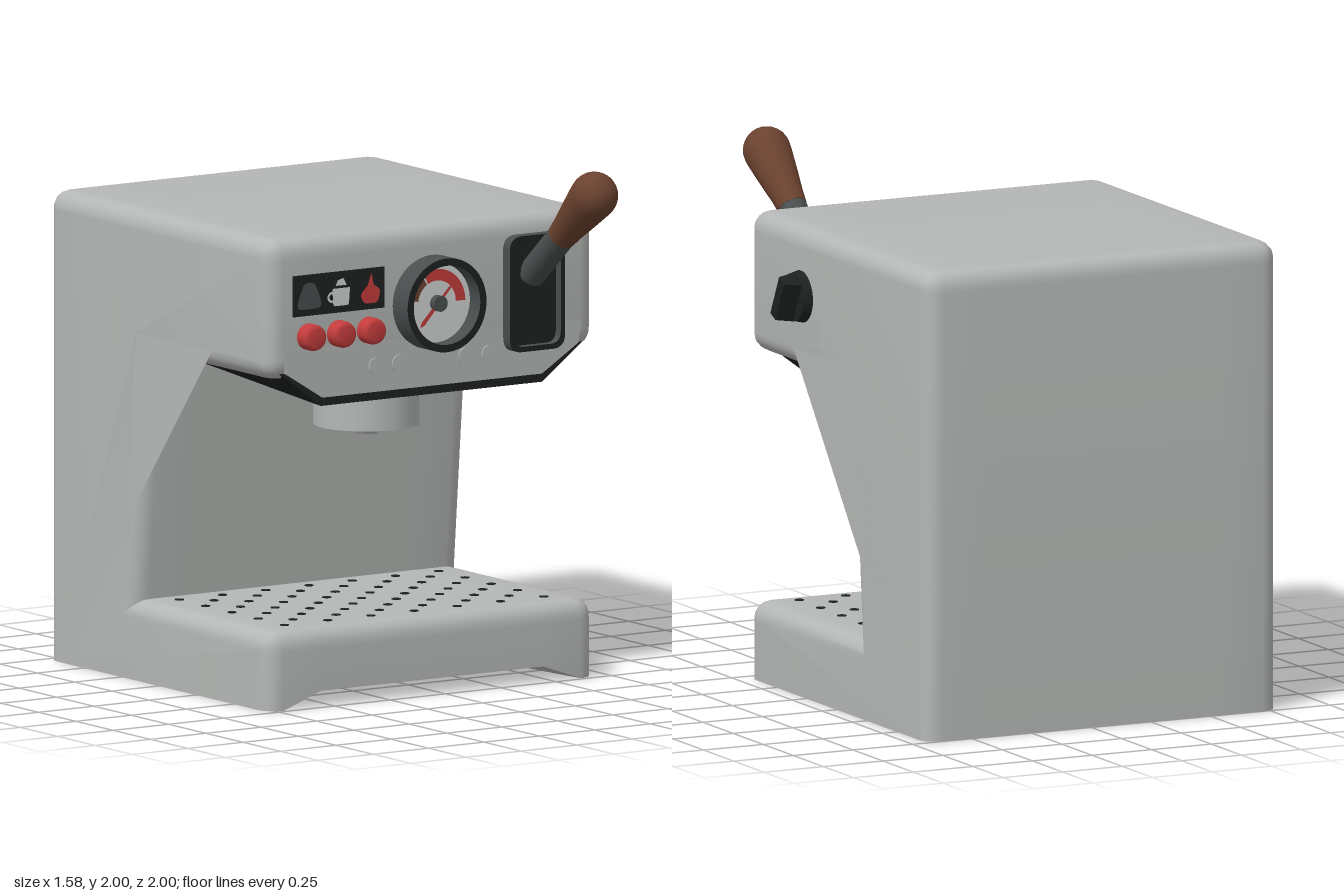
import * as THREE from 'three';
import { toCreasedNormals } from 'three/addons/utils/BufferGeometryUtils.js';

const mat = (name, color) => new THREE.MeshStandardMaterial({ name, color });

export function createModel() {
  const root = new THREE.Group();
  root.name = 'espressoMachine';
  const steel = mat('brushedSteel', 0xb4b7b5), pale = mat('paleGrey', 0xd0d3d1);
  const dark = mat('darkGrey', 0x4a4e4e), black = mat('black', 0x1e2121);
  const red = mat('red', 0xc43c3c), wood = mat('brownWood', 0x6b422f);
  const FRONT = 0.485, CX = -0.05;

  const add = (name, geo, material, x = 0, y = 0, z = 0, parent = root) => {
    const m = new THREE.Mesh(geo, material);
    m.name = name;
    m.position.set(x, y, z);
    parent.add(m);
    return m;
  };
  // Polygon whose points may carry a corner radius: [x, y, r]
  const polygon = (pts, Kind = THREE.Shape) => {
    const s = new Kind();
    pts.forEach(([x, y, r = 0], i) => {
      const toward = (q) => {
        const d = Math.hypot(q[0] - x, q[1] - y);
        return [x + (q[0] - x) * r / d, y + (q[1] - y) * r / d];
      };
      const a = toward(pts[(i + pts.length - 1) % pts.length]);
      const b = toward(pts[(i + 1) % pts.length]);
      if (i) s.lineTo(...a); else s.moveTo(...a);
      if (r) s.quadraticCurveTo(x, y, ...b);
    });
    s.closePath();
    return s;
  };
  const roundRect = (w, h, r, Kind) => polygon(
    [[-w / 2, -h / 2, r], [w / 2, -h / 2, r], [w / 2, h / 2, r], [-w / 2, h / 2, r]], Kind);
  const extrude = (shape, depth) => new THREE.ExtrudeGeometry(shape, { depth, bevelEnabled: false, curveSegments: 8 });
  const disc = (r, depth) => new THREE.CylinderGeometry(r, r, depth, 32).rotateX(Math.PI / 2);

  // C-shaped housing: side profile swept across the width with rounded edges
  const R = 0.08;
  const profile = polygon([[-1, -0.07], [FRONT, -0.07], [FRONT, 0.3, R], [-0.42, 0.3], [-0.335, 1.25],
    [FRONT, 1.25, R], [FRONT, 1.785, R], [-1, 1.785, R]].map(([z, y, r]) => [-z, y, r]));
  const body = new THREE.ExtrudeGeometry(profile, {
    depth: 1.34, steps: 8, curveSegments: 6,
    bevelSize: 0.07, bevelThickness: 0.07, bevelOffset: -0.07, bevelSegments: 5,
  });
  body.rotateY(Math.PI / 2).translate(-0.72, 0, 0);
  // Flatten the underside and raise its middle towards the front
  const bp = body.attributes.position;
  for (let i = 0; i < bp.count; i++) {
    if (bp.getY(i) >= 0) continue;
    const middle = bp.getX(i) > -0.56 && bp.getX(i) < 0.46;
    bp.setY(i, middle ? 0.06 * (bp.getZ(i) + 1) / 1.485 : 0);
  }
  add('housing', toCreasedNormals(body, 0.5), steel);

  // Black hood under the head, rising towards the column
  const hood = extrude(polygon([[-0.73, 1.275], [-0.55, 1.14], [0.45, 1.14], [0.63, 1.275]]), 0.84);
  hood.translate(0, 0, -0.36);
  const hp = hood.attributes.position;
  for (let i = 0; i < hp.count; i++) {
    if (hp.getY(i) < 1.2) hp.setY(i, hp.getY(i) + 0.06 * (0.48 - hp.getZ(i)) / 0.84);
  }
  hood.computeVertexNormals();
  add('hood', hood, black);
  add('frontApron', extrude(polygon([[-0.72, 1.36], [-0.71, 1.275], [-0.545, 1.172], [0.445, 1.172],
    [0.61, 1.275], [0.62, 1.36]]), 0.009), steel, 0, 0, FRONT - 0.008);

  // Brew head and nozzle
  add('brewHead', new THREE.CylinderGeometry(0.2, 0.2, 0.24, 40), steel, CX, 1.09, 0.043);
  add('nozzle', new THREE.CylinderGeometry(0.07, 0.045, 0.037, 24), steel, CX, 0.953, 0.043);

  // Staggered drain holes in the tray
  const tray = new THREE.Group();
  tray.name = 'trayHoles';
  root.add(tray);
  const hole = new THREE.CylinderGeometry(0.018, 0.018, 0.004, 10);
  for (let row = 0; row < 9; row++) {
    const n = row % 2 ? 6 : 7;
    for (let c = 0; c < n; c++) {
      add('trayHole', hole, black, CX + (c - (n - 1) / 2) * 0.195, 0.301, -0.34 + row * 0.088, tray);
    }
  }

  // Icon panel with three symbols
  add('iconPanel', new THREE.BoxGeometry(0.41, 0.155, 0.008), black, -0.475, 1.567, FRONT + 0.004);
  const zi = FRONT + 0.0095;
  const icon = (name, pts, material, x, y) => add(name, new THREE.ShapeGeometry(polygon(pts)), material, x, y, zi);
  icon('dropIcon', [[-0.06, -0.045, 0.03], [0.06, -0.045, 0.03], [0.045, 0.005, 0.02], [0.022, 0.055, 0.02],
    [-0.022, 0.055, 0.02], [-0.045, 0.005, 0.02]], dark, -0.61, 1.56);
  icon('cupIcon', [[-0.03, -0.045, 0.01], [0.04, -0.045, 0.01], [0.045, 0.022], [-0.035, 0.022]], pale, -0.472, 1.56);
  icon('steamIcon', [[-0.02, 0.032], [0.03, 0.032], [0.015, 0.06], [-0.01, 0.052]], pale, -0.472, 1.56);
  add('cupHandleIcon', new THREE.RingGeometry(0.012, 0.021, 16), pale, -0.508, 1.55, zi);
  icon('flameIcon', [[-0.03, -0.05, 0.02], [0.035, -0.05, 0.02], [0.045, 0.0, 0.01], [0.015, 0.02],
    [0.005, 0.065], [-0.012, 0.02], [-0.045, -0.015, 0.01]], red, -0.335, 1.562);

  // Round push buttons
  const button = new THREE.LatheGeometry([[0.05, 0], [0.05, 0.04], [0.046, 0.053], [0.035, 0.06], [0, 0.061]]
    .map(([r, h]) => new THREE.Vector2(r, h)), 28).rotateX(Math.PI / 2);
  for (const x of [-0.61, -0.475, -0.34]) add('button', button, red, x, 1.41, FRONT);

  // Small indicator caps
  for (const x of [-0.305, -0.2, 0.1, 0.205]) add('indicator', disc(0.033, 0.012), steel, x, 1.27, FRONT);

  // Pressure gauge
  const gauge = new THREE.Group();
  gauge.name = 'gauge';
  gauge.position.set(CX, 1.49, FRONT);
  root.add(gauge);
  const ring = new THREE.Shape().absarc(0, 0, 0.178, 0, Math.PI * 2);
  ring.holes.push(new THREE.Path().absarc(0, 0, 0.15, 0, Math.PI * 2, true));
  add('gaugeRing', toCreasedNormals(new THREE.ExtrudeGeometry(ring, { depth: 0.1, bevelEnabled: false, curveSegments: 32 }), 0.5),
    [black, dark], 0, 0, 0, gauge);
  add('gaugeFace', disc(0.152, 0.03), pale, 0, 0, 0.015, gauge);
  const arc = (name, from, to, material) => add(name,
    new THREE.RingGeometry(0.085, 0.128, 24, 1, from * Math.PI / 180, (to - from) * Math.PI / 180),
    material, 0, 0, 0.032, gauge);
  arc('gaugeRedArc', 0, 118, red);
  arc('gaugeBrownArc', 122, 172, wood);
  add('needle', new THREE.ShapeGeometry(polygon([[-0.12, 0], [-0.1, -0.009], [0.08, -0.005], [0.08, 0.005], [-0.1, 0.009]])),
    red, 0, 0, 0.042, gauge).rotation.z = Math.PI * 0.26;
  add('needleHub', disc(0.03, 0.03), dark, 0, 0, 0.045, gauge);

  // Lever plate: frame with recessed floor
  const LX = 0.395;
  const frame = roundRect(0.25, 0.44, 0.055);
  frame.holes.push(roundRect(0.21, 0.4, 0.045, THREE.Path));
  add('leverFrame', toCreasedNormals(extrude(frame, 0.045), 0.5), [black, dark], LX, 1.49, FRONT);
  add('leverFloor', extrude(roundRect(0.22, 0.41, 0.045), 0.012), black, LX, 1.49, FRONT);

  // Lever: steel shaft and wooden grip along a slanted axis
  const lever = new THREE.Group();
  lever.name = 'lever';
  lever.position.set(LX, 1.555, 0.49);
  lever.quaternion.setFromUnitVectors(new THREE.Vector3(0, 1, 0), new THREE.Vector3(0, 0.355, 0.42).normalize());
  root.add(lever);
  add('leverShaft', new THREE.CylinderGeometry(0.054, 0.054, 0.28, 24), dark, 0, 0.14, 0, lever);
  const grip = [[0, 0.27], [0.056, 0.27], [0.062, 0.33], [0.075, 0.42], [0.088, 0.52]];
  for (let i = 0; i <= 8; i++) {
    const a = i / 8 * Math.PI / 2;
    grip.push([0.09 * Math.cos(a), 0.55 + 0.09 * Math.sin(a)]);
  }
  add('leverGrip', toCreasedNormals(new THREE.LatheGeometry(grip.map(([r, h]) => new THREE.Vector2(Math.max(r, 0), h)), 32), 0.7),
    wood, 0, 0, 0, lever);

  // Side knob: round base with a tapered turning bar
  const knob = new THREE.Group();
  knob.name = 'sideKnob';
  knob.position.set(0.685, 1.525, 0.043);
  knob.rotation.z = -Math.PI / 2;
  root.add(knob);
  add('knobBase', new THREE.CylinderGeometry(0.09, 0.1, 0.04, 32), black, 0, 0.02, 0, knob);
  const bar = new THREE.BoxGeometry(0.165, 0.07, 0.085);
  const kp = bar.attributes.position;
  for (let i = 0; i < kp.count; i++) if (kp.getY(i) > 0) kp.setZ(i, kp.getZ(i) * 0.55);
  bar.computeVertexNormals();
  add('knobBar', bar, black, 0, 0.07, 0, knob).rotation.y = -0.45;

  return root;
}
